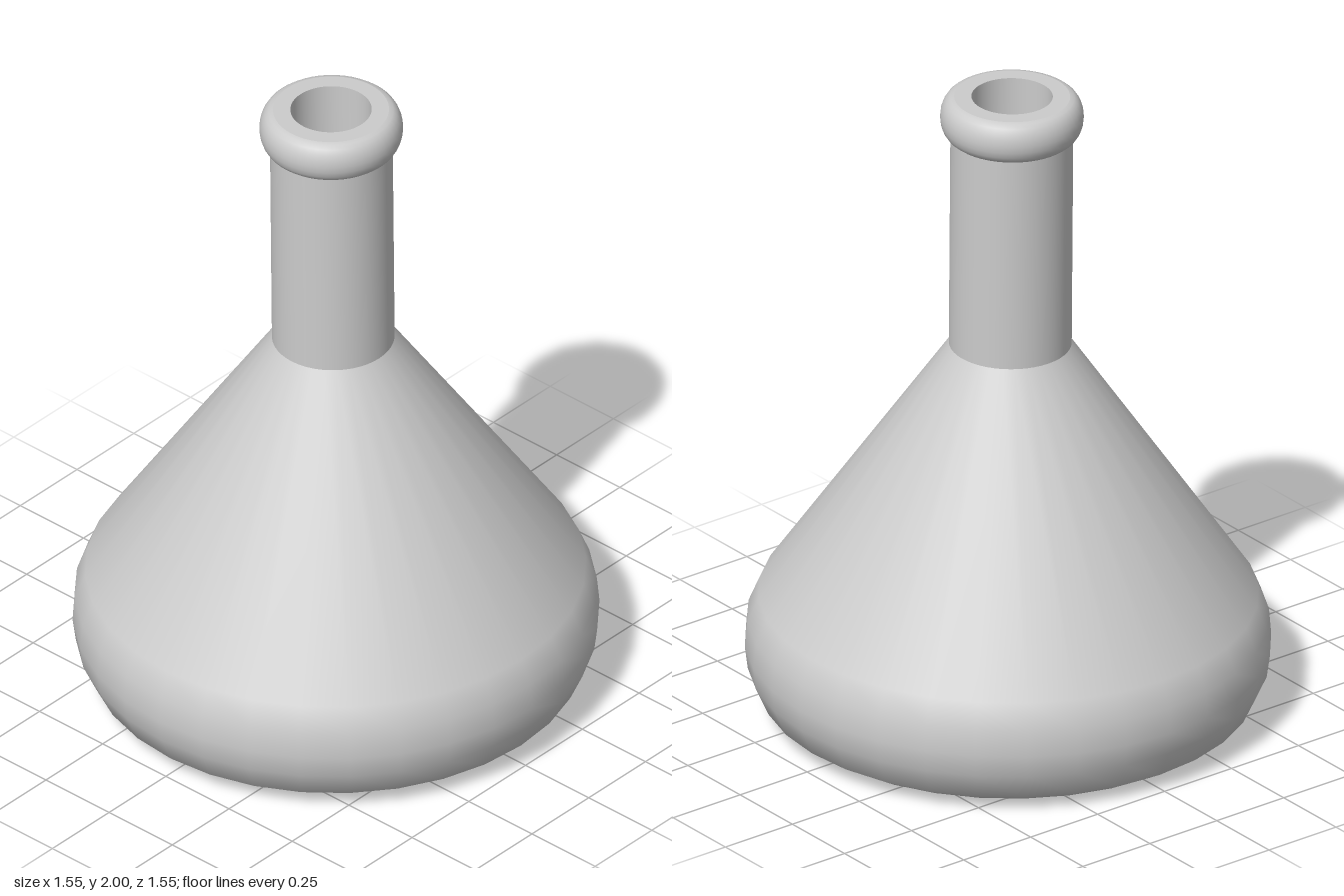
import * as THREE from 'three';

const material = new THREE.MeshStandardMaterial({ color: 0xcccccc, side: THREE.DoubleSide });

// One turned part from [radius, height] pairs, listed bottom to top
function turned(name, profile, sides) {
  const points = profile.map(([r, y]) => new THREE.Vector2(r, y));
  const mesh = new THREE.Mesh(new THREE.LatheGeometry(points, sides), material);
  mesh.name = name;
  return mesh;
}

export function createModel() {
  const flask = new THREE.Group();
  flask.name = 'flask';

  // Rounded foot running into the conical shoulder
  flask.add(turned('body', [
    [0, 0.008], [0.56, 0.008], [0.68, 0.026], [0.73, 0.056], [0.768, 0.14],
    [0.777, 0.21], [0.77, 0.29], [0.738, 0.368], [0.18, 1.19],
  ], 32));

  // Straight neck
  flask.add(turned('neck', [[0.181, 1.19], [0.181, 1.875]], 48));

  // Rounded lip: straight underside, bulging rim, flat top ring
  const bulge = [];
  for (let i = 0; i <= 10; i++) {
    const a = -Math.PI / 2 + (i / 10) * Math.PI;
    bulge.push([0.171 + 0.041 * Math.cos(a), 1.933 + 0.065 * Math.sin(a)]);
  }
  flask.add(turned('lipRim', bulge, 48));
  flask.add(turned('lipTop', [[0.171, 1.998], [0.12, 1.998]], 48));

  // Bore down through the neck, closed by a floor
  flask.add(turned('bore', [[0.12, 1.998], [0.12, 0.35]], 48));
  flask.add(turned('boreFloor', [[0.12, 0.35], [0, 0.35]], 48));

  // The flask leans very slightly
  flask.rotation.z = 0.011;
  flask.position.x = 0.002;

  const model = new THREE.Group();
  model.add(flask);
  return model;
}
